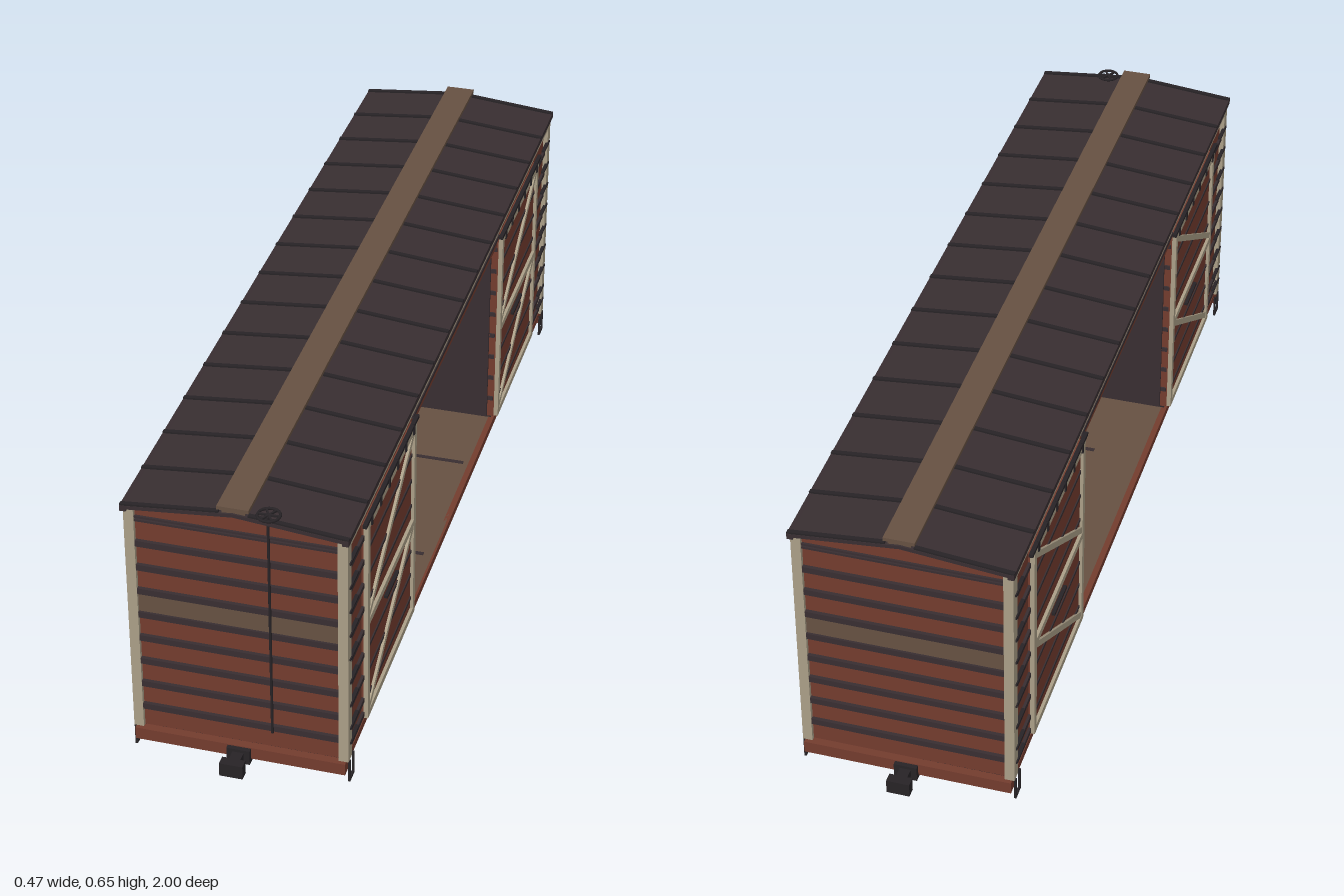
import * as THREE from 'three';

const mat = (name, color, side = THREE.FrontSide) => {
  const m = new THREE.MeshStandardMaterial({ color, side });
  m.name = name;
  return m;
};

export function createModel() {
  const red = mat('oxide red', 0x733c2e);
  const dark = mat('roof charcoal', 0x382e31);
  const black = mat('iron black', 0x272326);
  const tan = mat('wood brown', 0x665142);
  const beige = mat('trim beige', 0xaa9e87);
  const steel = mat('wheel grey', 0x48464a);

  const model = new THREE.Group();
  model.name = 'boxcar';

  const add = (name, geo, m, x = 0, y = 0, z = 0, parent = model) => {
    const mesh = new THREE.Mesh(geo, m);
    mesh.name = name;
    mesh.position.set(x, y, z);
    parent.add(mesh);
    return mesh;
  };
  // Box given by its extents
  const box = (name, m, x0, x1, y0, y1, z0, z1, parent = model) =>
    add(name, new THREE.BoxGeometry(Math.abs(x1 - x0), y1 - y0, Math.abs(z1 - z0)), m,
      (x0 + x1) / 2, (y0 + y1) / 2, (z0 + z1) / 2, parent);
  // Square bar between two points
  const beam = (name, m, a, b, w, h = w) => {
    const p = new THREE.Vector3(...a), q = new THREE.Vector3(...b);
    const mesh = add(name, new THREE.BoxGeometry(w, h, p.distanceTo(q)), m);
    mesh.position.copy(p).add(q).multiplyScalar(0.5);
    mesh.lookAt(q);
    return mesh;
  };
  // Outline in x,y pulled along z
  const prism = (name, m, points, z0, z1) => {
    const shape = new THREE.Shape(points.map(p => new THREE.Vector2(...p)));
    return add(name, new THREE.ExtrudeGeometry(shape, { depth: z1 - z0, bevelEnabled: false }), m, 0, 0, z0);
  };

  const ribLevels = [0.108, 0.167, 0.226, 0.285, 0.344, 0.403, 0.462, 0.521];

  // Roof, seams and running board
  prism('roof', dark, [[-0.235, 0.607], [0, 0.63], [0.235, 0.607], [0.235, 0.615], [0, 0.638], [-0.235, 0.615]], -0.94, 0.94);
  for (const s of [-1, 1]) {
    for (let i = 0; i <= 14; i++) {
      const z = -0.934 + i * 1.868 / 14;
      beam('roofSeam', black, [s * 0.03, 0.636, z], [s * 0.235, 0.616, z], 0.01, 0.006);
    }
    box('eaveStrip', dark, s * 0.222, s * 0.235, 0.603, 0.616, -0.94, 0.94);
  }
  box('runningBoard', tan, -0.033, 0.033, 0.644, 0.652, -0.94, 0.94);
  for (let i = 0; i <= 14; i++) {
    const z = -0.93 + i * 1.86 / 14;
    box('boardSaddle', tan, -0.024, 0.024, 0.632, 0.644, z - 0.006, z + 0.006);
  }

  // Floor of the open middle bay, with frame strips showing through
  box('floor', tan, -0.22, 0.22, 0.044, 0.056, -0.4, 0.4);
  for (const s of [-1, 1]) {
    for (let i = 0; i < 6; i++) {
      const z = -0.25 + i * 0.1;
      box('floorStrip', dark, s * 0.025, s * 0.042, 0.055, 0.0575, z - 0.032, z + 0.032);
    }
    box('floorCrossStrip', dark, -0.1, 0.2, 0.055, 0.0575, s * 0.19 - 0.005, s * 0.19 + 0.005);
  }

  for (const e of [-1, 1]) {
    // Closed end of the body
    const [z0, z1] = e > 0 ? [0.405, 0.922] : [-0.922, -0.405];
    prism('endBody', red, [[-0.22, 0.055], [0.22, 0.055], [0.22, 0.608], [0, 0.63], [-0.22, 0.608]], z0, z1);
    box('bulkhead', dark, -0.207, 0.207, 0.056, 0.61, e * 0.399, e * 0.406);
    box('underFloor', black, -0.218, 0.218, 0.042, 0.056, e * 0.4, e * 0.922);

    // End wall ribs and painted band
    for (const y of ribLevels) box('endRib', dark, -0.21, 0.21, y - 0.007, y + 0.007, e * 0.92, e * 0.93);
    for (const y of [0.576, 0.584]) box('topEndRib', dark, -0.21, 0.21, y - 0.0025, y + 0.0025, e * 0.92, e * 0.927);
    box('endBand', tan, -0.21, 0.21, 0.351, 0.396, e * 0.921, e * 0.925);
    box('endSill', red, -0.226, 0.226, 0.027, 0.055, e * 0.905, e * 0.94);

    // Coupler
    box('couplerPocket', black, -0.025, 0.025, 0.018, 0.053, e * 0.92, e * 0.95);
    box('couplerShank', black, -0.012, 0.012, 0.028, 0.046, e * 0.94, e * 0.985);
    box('couplerKnuckle', black, -0.025, 0.025, 0.02, 0.052, e * 0.978, e * 1.0);

    // Truck: axles, wheels and bolster
    for (const za of [0.64, 0.78]) {
      const axle = add('axle', new THREE.CylinderGeometry(0.007, 0.007, 0.2, 10), black, 0, 0.04, e * za);
      axle.rotation.z = Math.PI / 2;
      for (const s of [-1, 1]) {
        const wheel = add('wheel', new THREE.CylinderGeometry(0.036, 0.036, 0.018, 24), steel, s * 0.095, 0.04, e * za);
        wheel.rotation.z = Math.PI / 2;
        const flange = add('wheelFlange', new THREE.CylinderGeometry(0.039, 0.039, 0.005, 24), steel, s * 0.084, 0.04, e * za);
        flange.rotation.z = Math.PI / 2;
        box('journalBox', black, s * 0.105, s * 0.13, 0.018, 0.042, e * (za - 0.014), e * (za + 0.014));
      }
    }
    box('bolster', black, -0.13, 0.13, 0.022, 0.043, e * 0.69, e * 0.73);

    for (const s of [-1, 1]) {
      // Corner posts and side panel ribs
      box('cornerPost', beige, s * 0.21, s * 0.231, 0.055, 0.608, e * 0.905, e * 0.931);
      for (const y of [0.07, ...ribLevels]) {
        box('sideRib', dark, s * 0.219, s * 0.226, y - 0.006, y + 0.006, e * 0.79, e * 0.906);
        box('ladderRung', black, s * 0.226, s * 0.234, y + 0.024, y + 0.029, e * 0.86, e * 0.92);
      }
      // Ribs on the inner jamb
      for (const y of ribLevels) box('jambRib', dark, s * 0.208, s * 0.221, y - 0.005, y + 0.005, e * 0.401, e * 0.406);

      // Corner stirrup
      for (const z of [0.893, 0.923]) box('stirrupLeg', black, s * 0.228, s * 0.233, 0.006, 0.055, e * z - 0.002, e * z + 0.002);
      box('stirrupStep', black, s * 0.228, s * 0.233, 0, 0.006, e * 0.891, e * 0.925);

      // Sliding door: panel, ribs, frame and braces
      box('doorPanel', red, s * 0.22, s * 0.227, 0.062, 0.553, e * 0.403, e * 0.79);
      for (const y of [0.105, 0.168, 0.23, 0.35, 0.415, 0.48])
        box('doorRib', dark, s * 0.226, s * 0.2295, y - 0.004, y + 0.004, e * 0.42, e * 0.775);
      for (const z of [0.41, 0.783]) box('doorStile', beige, s * 0.224, s * 0.234, 0.062, 0.555, e * (z - 0.008), e * (z + 0.008));
      for (const y of [0.068, 0.305, 0.546]) box('doorRail', beige, s * 0.224, s * 0.234, y - 0.008, y + 0.008, e * 0.403, e * 0.79);
      const [zHigh, zLow] = e > 0 ? [0.415, 0.778] : [-0.778, -0.415];
      for (const y of [0.078, 0.318])
        beam('doorBrace', beige, [s * 0.229, y, zLow], [s * 0.229, y + 0.22, zHigh], 0.008, 0.014);
      box('doorHandle', black, s * 0.227, s * 0.235, 0.263, 0.269, e * 0.545, e * 0.64);
      box('doorTrack', black, s * 0.227, s * 0.236, 0.557, 0.565, e * 0.39, e * 0.81);
      for (let i = 0; i < 6; i++) {
        const z = e * (0.43 + i * 0.067);
        box('doorHanger', black, s * 0.232, s * 0.237, 0.54, 0.568, z - 0.004, z + 0.004);
      }
    }
  }

  for (const s of [-1, 1]) {
    // Header above the opening, trim and long sills
    box('doorHeader', red, s * 0.205, s * 0.22, 0.532, 0.61, -0.406, 0.406);
    box('headerRail', dark, s * 0.219, s * 0.226, 0.558, 0.566, -0.4, 0.4);
    box('upperTrim', beige, s * 0.218, s * 0.231, 0.586, 0.604, -0.925, 0.925);
    box('upperShadowRail', dark, s * 0.218, s * 0.226, 0.573, 0.582, -0.905, 0.905);
    box('sideSill', red, s * 0.212, s * 0.225, 0.038, 0.056, -0.922, 0.922);

    // Centre sills and truss rods
    box('centreSill', black, s * 0.022, s * 0.034, 0.026, 0.046, -0.92, 0.92);
    for (const x of [0.055, 0.155]) {
      const pts = [[s * x, 0.042, -0.5], [s * x, 0.017, -0.17], [s * x, 0.017, 0.17], [s * x, 0.042, 0.5]];
      for (let i = 0; i < 3; i++) beam('trussRod', black, pts[i], pts[i + 1], 0.005);
      for (const z of [-0.17, 0.17]) box('queenPost', black, s * x - 0.004, s * x + 0.004, 0.015, 0.046, z - 0.006, z + 0.006);
    }
  }
  for (const z of [-0.42, -0.19, 0.19, 0.42]) box('crossBearer', black, -0.215, 0.215, 0.03, 0.045, z - 0.008, z + 0.008);

  // Brake gear under the floor
  const tank = add('brakeReservoir', new THREE.CylinderGeometry(0.018, 0.018, 0.17, 14), black, 0.09, 0.026, 0.09);
  tank.rotation.x = Math.PI / 2;
  const cylinder = add('brakeCylinder', new THREE.CylinderGeometry(0.016, 0.016, 0.1, 14), black, -0.09, 0.026, -0.1);
  cylinder.rotation.x = Math.PI / 2;
  beam('brakeRod', black, [-0.09, 0.03, -0.15], [-0.01, 0.03, -0.6], 0.005);
  beam('brakeRod', black, [-0.09, 0.03, -0.05], [-0.01, 0.03, 0.6], 0.005);

  // Hand brake on the front end
  add('brakeShaft', new THREE.CylinderGeometry(0.003, 0.003, 0.54, 8), black, 0.07, 0.37, 0.933);
  const rim = add('brakeWheelRim', new THREE.TorusGeometry(0.023, 0.003, 6, 24), black, 0.07, 0.64, 0.926);
  rim.rotation.x = Math.PI / 2;
  for (const a of [0, Math.PI / 3, 2 * Math.PI / 3]) {
    const c = Math.cos(a) * 0.023, d = Math.sin(a) * 0.023;
    beam('brakeWheelSpoke', black, [0.07 - c, 0.64, 0.926 - d], [0.07 + c, 0.64, 0.926 + d], 0.004);
  }

  return model;
}
